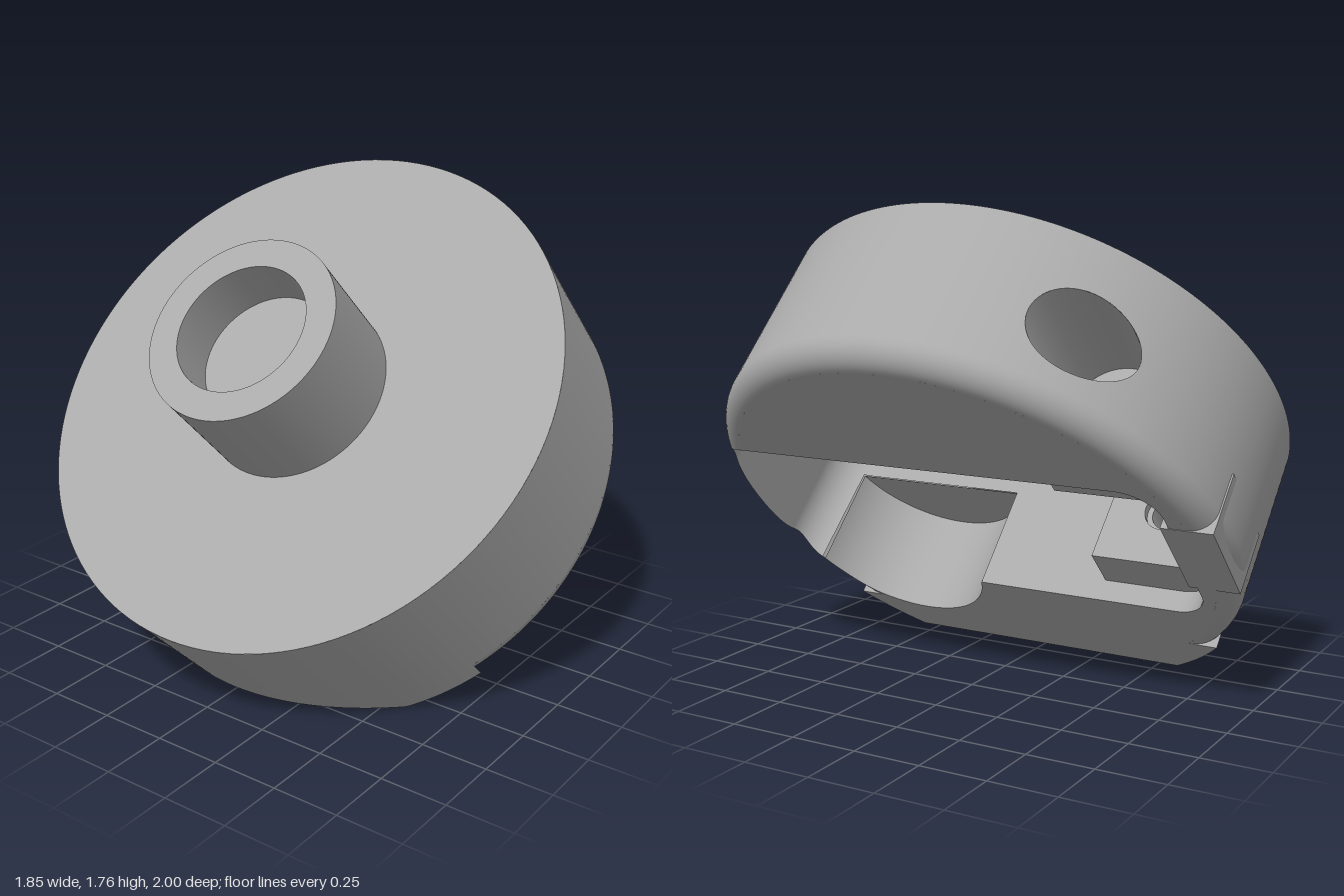
import * as THREE from 'three';

// Local frame: x = across the disc, y = along the axis (0 = underside), z = depth
const H = 0.67, F = 0.085, RI = 1 - F;            // thickness, edge fillet, inner fillet radius
const FLAT = -0.617, CUT = -0.82;                 // where the fillet stops, where the base is cut off
const SLOT = { u: 0.378, z0: -0.83, z1: 0.96, r: 0.14, depth: 0.615 };
const BULGE = { u: -0.275, z: 0.4875, r: 0.386, depth: 0.417 };
const BORE = { z: -0.61, h: 0.314, r: 0.155, floor: 0.42 };

// Smooth surface from a rule f(s, t) -> [x, y, z]
function grid(ns, nt, f) {
  const pos = [], idx = [];
  for (let i = 0; i <= ns; i++) for (let j = 0; j <= nt; j++) pos.push(...f(i / ns, j / nt));
  for (let i = 0; i < ns; i++) for (let j = 0; j < nt; j++) {
    const a = i * (nt + 1) + j, b = a + nt + 1;
    idx.push(a, a + 1, b, b, a + 1, b + 1);
  }
  const g = new THREE.BufferGeometry();
  g.setAttribute('position', new THREE.Float32BufferAttribute(pos, 3));
  g.setIndex(idx);
  g.computeVertexNormals();
  return g;
}

// Flat face looking down the axis, outlined in (x, z)
function plate(points, h) {
  return new THREE.ShapeGeometry(new THREE.Shape(points)).rotateX(Math.PI / 2).translate(0, h, 0);
}

const filletHeight = r => r <= RI ? 0 : F - Math.sqrt(Math.max(0, F * F - (r - RI) ** 2));
const inBulge = (u, z) => Math.hypot(u - BULGE.u, z - BULGE.z) < BULGE.r;
function inSlot(u, z) {
  const qu = Math.abs(u) - SLOT.u + SLOT.r;
  const qz = Math.abs(z - (SLOT.z0 + SLOT.z1) / 2) - (SLOT.z1 - SLOT.z0) / 2 + SLOT.r;
  return Math.hypot(Math.max(qu, 0), Math.max(qz, 0)) < SLOT.r;
}

// Outermost pocket radius inside the fillet band at an angle
function pocketEdge(a) {
  for (let r = 1; r > RI; r -= 0.001) {
    const u = r * Math.cos(a), z = r * Math.sin(a);
    if (inSlot(u, z) || inBulge(u, z)) return r;
  }
  return RI;
}

function slotOutline() {
  const { u, z0, z1, r } = SLOT, s = new THREE.Shape();
  s.moveTo(0, z1);
  s.lineTo(u - r, z1);
  s.absarc(u - r, z1 - r, r, Math.PI / 2, 0, true);
  s.absarc(u - r, z0 + r, r, 0, -Math.PI / 2, true);
  s.absarc(-u + r, z0 + r, r, -Math.PI / 2, -Math.PI, true);
  s.absarc(-u + r, z1 - r, r, Math.PI, Math.PI / 2, true);
  s.lineTo(0, z1);
  return s.getSpacedPoints(600);
}

function bulgeOutline() {
  const pts = [];
  for (let i = 0; i <= 120; i++) {
    const a = Math.PI * (1.6 - 1.2 * i / 120);
    const p = new THREE.Vector2(BULGE.u + BULGE.r * Math.cos(a), BULGE.z + BULGE.r * Math.sin(a));
    if (p.x < -0.3 && !inSlot(p.x, p.y)) pts.push(p);
  }
  return pts;
}

function arc(r, a0, a1, n = 80) {
  return Array.from({ length: n + 1 }, (_, i) => {
    const a = a0 + (a1 - a0) * i / n;
    return new THREE.Vector2(r * Math.cos(a), r * Math.sin(a));
  });
}

export function createModel() {
  const model = new THREE.Group(), knob = new THREE.Group();
  const grey = new THREE.MeshStandardMaterial({ color: 0xaaaaaa, side: THREE.DoubleSide });
  grey.name = 'machined grey';
  const add = (name, geo) => {
    const m = new THREE.Mesh(geo, grey);
    m.name = name;
    knob.add(m);
    return m;
  };

  // Hollow stem and upper disc face, one band per profile segment for sharp edges
  const profile = [[0, 0.89], [0.245, 0.89], [0.245, 1.0925], [0.354, 1.0925], [0.354, H], [1, H]]
    .map(p => new THREE.Vector2(...p));
  for (let i = 0; i < 5; i++)
    add(i < 4 ? 'stem' : 'upperFace', new THREE.LatheGeometry([profile[i + 1], profile[i]], 128));

  // Rim wall, leaving a window for the screw access bore
  const zA = BORE.z - 0.2, zB = BORE.z + 0.2, aF = Math.acos(FLAT);
  const wall = (a0, a1, low) => add('rim', grid(96, 1, (s, t) => {
    const a = a0 + (a1 - a0) * s, h = low(Math.cos(a));
    return [Math.cos(a), h + (H - h) * t, Math.sin(a)];
  }));
  wall(Math.asin(zB), aF, () => F);
  wall(aF, 2 * Math.PI - aF, u => Math.max(0, CUT - u));
  wall(-aF, Math.asin(zA), () => F);

  // Rim patch stretched from the bore circle to the window border
  const corners = [[zB, F], [zB, H], [zA, H], [zA, F], [zB, F]];
  add('rimAroundBore', grid(96, 12, (s, t) => {
    const k = Math.min(3, Math.floor(s * 4)), f = s * 4 - k;
    const bz = corners[k][0] + (corners[k + 1][0] - corners[k][0]) * f;
    const bh = corners[k][1] + (corners[k + 1][1] - corners[k][1]) * f;
    const a = Math.atan2(bh - BORE.h, bz - BORE.z);
    const cz = BORE.z + BORE.r * Math.cos(a), ch = BORE.h + BORE.r * Math.sin(a);
    const z = cz + (bz - cz) * t;
    return [Math.sqrt(1 - z * z), ch + (bh - ch) * t, z];
  }));

  // Screw access bore with its floor
  add('bore', grid(64, 1, (s, t) => {
    const a = s * 2 * Math.PI, z = BORE.z + BORE.r * Math.cos(a), u = Math.sqrt(1 - z * z);
    return [u + (BORE.floor - u) * t, BORE.h + BORE.r * Math.sin(a), z];
  }));
  add('boreFloor', new THREE.CircleGeometry(BORE.r, 48).rotateY(Math.PI / 2)
    .translate(BORE.floor, BORE.h, BORE.z));

  // Rounded lower edge, trimmed where the pocket breaks through
  add('edgeFillet', grid(400, 10, (s, t) => {
    const r0 = RI + F * Math.cos(t * Math.PI / 2);
    const a = (2 * s - 1) * Math.acos(FLAT / r0);
    const r = Math.max(r0, pocketEdge(a));
    return [r * Math.cos(a), filletHeight(r), r * Math.sin(a)];
  }));
  for (const side of [-1, 1]) add('filletStep', grid(10, 1, (s, t) => {
    const r = RI + F * Math.sin(s * Math.PI / 2);
    return [FLAT, filletHeight(r) * t, side * Math.sqrt(r * r - FLAT * FLAT)];
  }));

  // Flat cut the model stands on
  add('standingFlat', grid(48, 1, (s, t) => {
    const u = -1 + (1 + CUT) * s * s;
    return [u, CUT - u, (2 * t - 1) * Math.sqrt(Math.max(0, 1 - u * u))];
  }));

  // Underside around the pocket
  const slot = slotOutline(), bulge = bulgeOutline();
  const inner = [...slot.filter(p => !inBulge(p.x, p.y)), ...bulge].filter(p => p.length() < RI);
  // keep the run in order: along the slot, then round the bulge
  const first = inner[0], last = inner[inner.length - 1];
  const aI = Math.acos(FLAT / RI), aC = Math.acos(CUT);
  add('underside', plate([
    ...arc(RI, first.angle(), -aI, 120), ...arc(1, -aF, -aC, 20),
    ...arc(1, aC, aF, 20), ...arc(RI, aI, last.angle(), 20), ...inner.reverse(),
  ], 0));

  // Pocket walls and ceilings
  const pocketWall = (name, pts, top, low) => add(name, grid(pts.length - 1, 1, (s, t) => {
    const p = pts[Math.round(s * (pts.length - 1))], h = low(p);
    return [p.x, h + (top - h) * t, p.y];
  }));
  const open = p => filletHeight(Math.min(1, p.length()));
  pocketWall('slotWall', slot, SLOT.depth, p => inBulge(p.x, p.y) ? BULGE.depth : open(p));
  pocketWall('bulgeWall', bulge, BULGE.depth, open);
  add('slotCeiling', plate(slot, SLOT.depth));
  add('bulgeCeiling', plate(bulge, BULGE.depth));

  // Clamp blocks on both slot walls, drilled for the screw
  const block = (x, thick, r) => {
    const s = new THREE.Shape();
    s.moveTo(0.385, F);
    s.lineTo(0.8, F);
    s.lineTo(0.8, SLOT.depth);
    s.lineTo(0.385, SLOT.depth);
    s.closePath();
    s.holes.push(new THREE.Path().absarc(-BORE.z, BORE.h, r, 0, Math.PI * 2));
    add('clampBlock', new THREE.ExtrudeGeometry(s, { depth: thick, bevelEnabled: false, curveSegments: 32 })
      .rotateY(Math.PI / 2).translate(x, 0, 0));
  };
  block(-0.378, 0.14, 0.065);
  block(-0.238, 0.03, 0.085);
  block(0.208, 0.17, 0.085);

  // Square tab through the rim at the closed end of the slot
  add('rimTab', new THREE.BoxGeometry(0.37, 0.24, 0.188)).position.set(0.005, 0.118, -0.894);

  knob.name = 'tiltedKnob';
  knob.rotation.z = Math.PI / 4;
  knob.position.set(0.2525, 0.58, 0);
  model.add(knob);
  return model;
}
